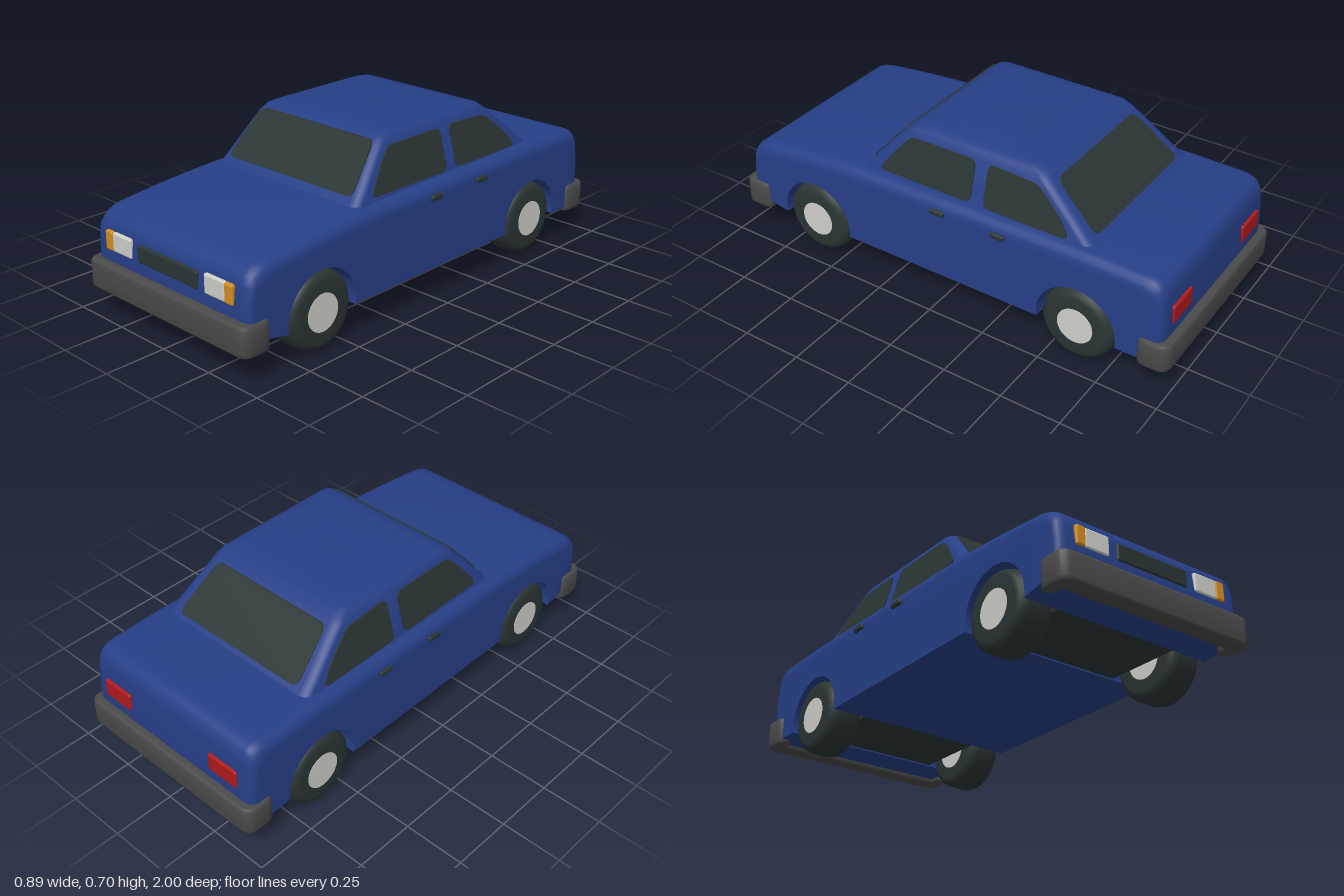
import * as THREE from 'three';
import { toCreasedNormals } from 'three/addons/utils/BufferGeometryUtils.js';
import { RoundedBoxGeometry } from 'three/addons/geometries/RoundedBoxGeometry.js';

const mat = (name, color) => Object.assign(new THREE.MeshStandardMaterial({ color }), { name });

// Closed shape with softened corners
function roundedPoly(pts, r) {
  const s = new THREE.Shape();
  const v = pts.map(p => new THREE.Vector2(...p));
  v.forEach((p, i) => {
    const toward = q => p.clone().add(q.clone().sub(p).setLength(Math.min(r, p.distanceTo(q) * 0.45)));
    const a = toward(v[(i + v.length - 1) % v.length]);
    const b = toward(v[(i + 1) % v.length]);
    if (i === 0) s.moveTo(a.x, a.y); else s.lineTo(a.x, a.y);
    s.quadraticCurveTo(p.x, p.y, b.x, b.y);
  });
  s.closePath();
  return s;
}

function mapVertices(geo, fn) {
  const p = geo.attributes.position;
  for (let i = 0; i < p.count; i++) p.setXYZ(i, ...fn(p.getX(i), p.getY(i), p.getZ(i)));
  return geo;
}

// Cabin slopes, shared by the shell and its windows
const frontZ = y => 0.395 - (y - 0.47) * 0.875;
const backZ = y => -0.64 + (y - 0.485) * 1.175;
const sideX = y => 0.38 - (y - 0.485) * 0.273;

// Lower body: side profile with wheel arches, rounded toward the flanks
function bodyGeometry() {
  const s = new THREE.Shape();
  const dip = Math.asin(0.025 / 0.168);
  s.moveTo(-0.94, 0.13);
  for (const c of [-0.615, 0.615]) s.absarc(c, 0.155, 0.168, Math.PI + dip, -dip, true);
  s.lineTo(0.94, 0.13);
  s.lineTo(0.965, 0.16);
  s.lineTo(0.968, 0.29);
  s.lineTo(0.96, 0.39);
  s.bezierCurveTo(0.955, 0.46, 0.93, 0.48, 0.86, 0.48);
  s.lineTo(0.64, 0.485);
  s.lineTo(0, 0.477);
  s.lineTo(-0.4, 0.472);
  s.quadraticCurveTo(-0.65, 0.458, -0.84, 0.435);
  s.bezierCurveTo(-0.91, 0.428, -0.945, 0.4, -0.955, 0.355);
  s.lineTo(-0.963, 0.28);
  s.lineTo(-0.963, 0.16);
  s.closePath();
  const k = 5, n = 2 * k + 1, r = 0.05;
  const geo = new THREE.ExtrudeGeometry(s, { depth: n, steps: n, bevelEnabled: false, curveSegments: 24 });
  mapVertices(geo, (u, y, layer) => {
    const i = Math.round(layer), side = i <= k ? -1 : 1;
    const a = (1 - Math.min(i, n - i) / k) * Math.PI / 2;
    const inset = r * (1 - Math.cos(a));
    const top = THREE.MathUtils.smoothstep(y, 0.33, 0.42);
    const end = THREE.MathUtils.smoothstep(Math.abs(u), 0.85, 0.95);
    return [side * (0.38 + r * Math.sin(a)), y - inset * top, -(u - Math.sign(u) * inset * 0.6 * end)];
  });
  return toCreasedNormals(geo, 0.6);
}

// Cabin: stacked rounded rectangles, closed by a flat roof
function cabinGeometry() {
  const levels = [0.45, 0.55, 0.66].map(y => [y, frontZ(y), backZ(y), sideX(y)]);
  levels.push([0.685, 0.2, -0.405, 0.318], [0.697, 0.165, -0.355, 0.295], [0.702, 0.12, -0.28, 0.265]);
  const q = 6, n = q * 4, pos = [], idx = [], r = 0.04;
  for (const [y, zf, zb, hw] of levels) {
    for (let i = 0; i < n; i++) {
      const quad = Math.floor(i / q), a = (quad + (i % q) / (q - 1)) * Math.PI / 2;
      const cx = quad === 0 || quad === 3 ? hw - r : r - hw;
      const cz = quad < 2 ? zf - r : zb + r;
      pos.push(cx + r * Math.cos(a), y, cz + r * Math.sin(a));
    }
  }
  for (let l = 0; l < levels.length - 1; l++) {
    for (let i = 0; i < n; i++) {
      const a = l * n + i, b = l * n + (i + 1) % n;
      idx.push(a, a + n, b, b, a + n, b + n);
    }
  }
  const base = (levels.length - 1) * n;
  pos.push(0, 0.703, -0.08);
  for (let i = 0; i < n; i++) idx.push(base + n, base + (i + 1) % n, base + i);
  const geo = new THREE.BufferGeometry();
  geo.setAttribute('position', new THREE.Float32BufferAttribute(pos, 3));
  geo.setIndex(idx);
  return toCreasedNormals(geo, 0.7);
}

// Thin window pane laid on a sloping surface
function paneGeometry(pts, place) {
  const geo = new THREE.ExtrudeGeometry(roundedPoly(pts, 0.028), { depth: 0.009, bevelEnabled: false, curveSegments: 5 });
  mapVertices(geo, (u, v, w) => place(u, v, w - 0.004));
  geo.computeVertexNormals();
  return geo;
}

export function createModel() {
  const car = new THREE.Group();
  car.name = 'car';
  const paint = mat('blue paint', 0x263f87);
  const dark = mat('dark glass and rubber', 0x2a3534);
  const grey = mat('grey bumper', 0x4b4a4a);
  const white = mat('pale lamp and hub', 0xcfcfcb);
  const amber = mat('amber lamp', 0xd48d20);
  const red = mat('red lamp', 0xb01a1c);

  const add = (name, geo, material, parent = car) => {
    const m = new THREE.Mesh(geo, material);
    m.name = name;
    parent.add(m);
    return m;
  };
  const box = (name, material, x0, x1, y0, y1, z0, z1, r) =>
    add(name, new RoundedBoxGeometry(x1 - x0, y1 - y0, z1 - z0, 2, r), material)
      .position.set((x0 + x1) / 2, (y0 + y1) / 2, (z0 + z1) / 2);

  add('body', bodyGeometry(), paint);
  add('cabin', cabinGeometry(), paint);

  // Windscreen and rear window
  add('windscreen', paneGeometry([[-0.338, 0.5], [0.338, 0.5], [0.303, 0.675], [-0.303, 0.675]],
    (u, v, w) => [u, v, frontZ(v) + w]), dark);
  add('rearWindow', paneGeometry([[-0.318, 0.5], [0.318, 0.5], [0.285, 0.658], [-0.285, 0.658]],
    (u, v, w) => [-u, v, backZ(v) - w]), dark);

  // Side windows and door handles
  const frontSide = [[0.31, 0.49], [-0.118, 0.487], [-0.118, 0.652], [0.18, 0.652], [0.24, 0.585]];
  const rearSide = [[-0.175, 0.487], [-0.55, 0.487], [-0.5, 0.555], [-0.39, 0.645], [-0.175, 0.655]];
  for (const s of [1, -1]) {
    const side = s > 0 ? 'left' : 'right';
    [['FrontWindow', frontSide], ['RearWindow', rearSide]].forEach(([name, pts]) =>
      add(side + name, paneGeometry(pts.map(([z, y]) => [-s * z, y]),
        (u, v, w) => [s * (sideX(v) + w), v, -s * u]), dark));
    for (const z of [0, -0.275])
      box(side + 'DoorHandle', dark, s * 0.425 - 0.016, s * 0.425 + 0.016, 0.412, 0.436, z - 0.032, z + 0.032, 0.008);

    // Lamps
    const lamp = (name, m, a, b, z0, z1) =>
      box(side + name, m, Math.min(s * a, s * b), Math.max(s * a, s * b), 0.278, 0.356, z0, z1, 0.008);
    lamp('Headlight', white, 0.205, 0.315, 0.93, 0.969);
    lamp('Indicator', amber, 0.313, 0.356, 0.93, 0.971);
    lamp('TailLight', red, 0.215, 0.36, -0.974, -0.94);
  }
  box('grille', dark, -0.168, 0.168, 0.278, 0.348, 0.93, 0.968, 0.008);

  // Wrap-around bumpers
  const plan = [[-0.43, -0.885], [-0.43, -0.985], [0.43, -0.985], [0.43, -0.885],
    [0.4, -0.885], [0.4, -0.94], [-0.4, -0.94], [-0.4, -0.885]];
  const bumper = toCreasedNormals(new THREE.ExtrudeGeometry(roundedPoly(plan, 0.03), {
    depth: 0.09, bevelThickness: 0.015, bevelSize: 0.015, bevelSegments: 3, curveSegments: 5,
  }).rotateX(-Math.PI / 2), 0.7);
  add('frontBumper', bumper, grey).position.y = 0.125;
  const rear = add('rearBumper', bumper, grey);
  rear.position.y = 0.125;
  rear.rotation.y = Math.PI;

  // Wheels, with dark wells between each pair
  const half = [[0.07, 0.075], [0.12, 0.075], [0.137, 0.068], [0.149, 0.056], [0.155, 0.036]];
  const profile = [...half.map(([r, y]) => [r, -y]), ...half.reverse()].map(p => new THREE.Vector2(...p));
  const tyre = new THREE.LatheGeometry(profile, 40).rotateZ(Math.PI / 2);
  const hub = new THREE.CylinderGeometry(0.075, 0.075, 0.154, 32).rotateZ(Math.PI / 2);
  for (const z of [0.615, -0.615]) {
    const end = z > 0 ? 'front' : 'rear';
    box(end + 'WheelWell', dark, -0.275, 0.275, 0.135, 0.31, z - 0.168, z + 0.168, 0.004);
    for (const s of [1, -1]) {
      const wheel = new THREE.Group();
      wheel.name = end + (s > 0 ? 'Left' : 'Right') + 'Wheel';
      wheel.position.set(s * 0.355, 0.155, z);
      add('tyre', tyre, dark, wheel);
      add('hub', hub, white, wheel);
      car.add(wheel);
    }
  }
  return car;
}
